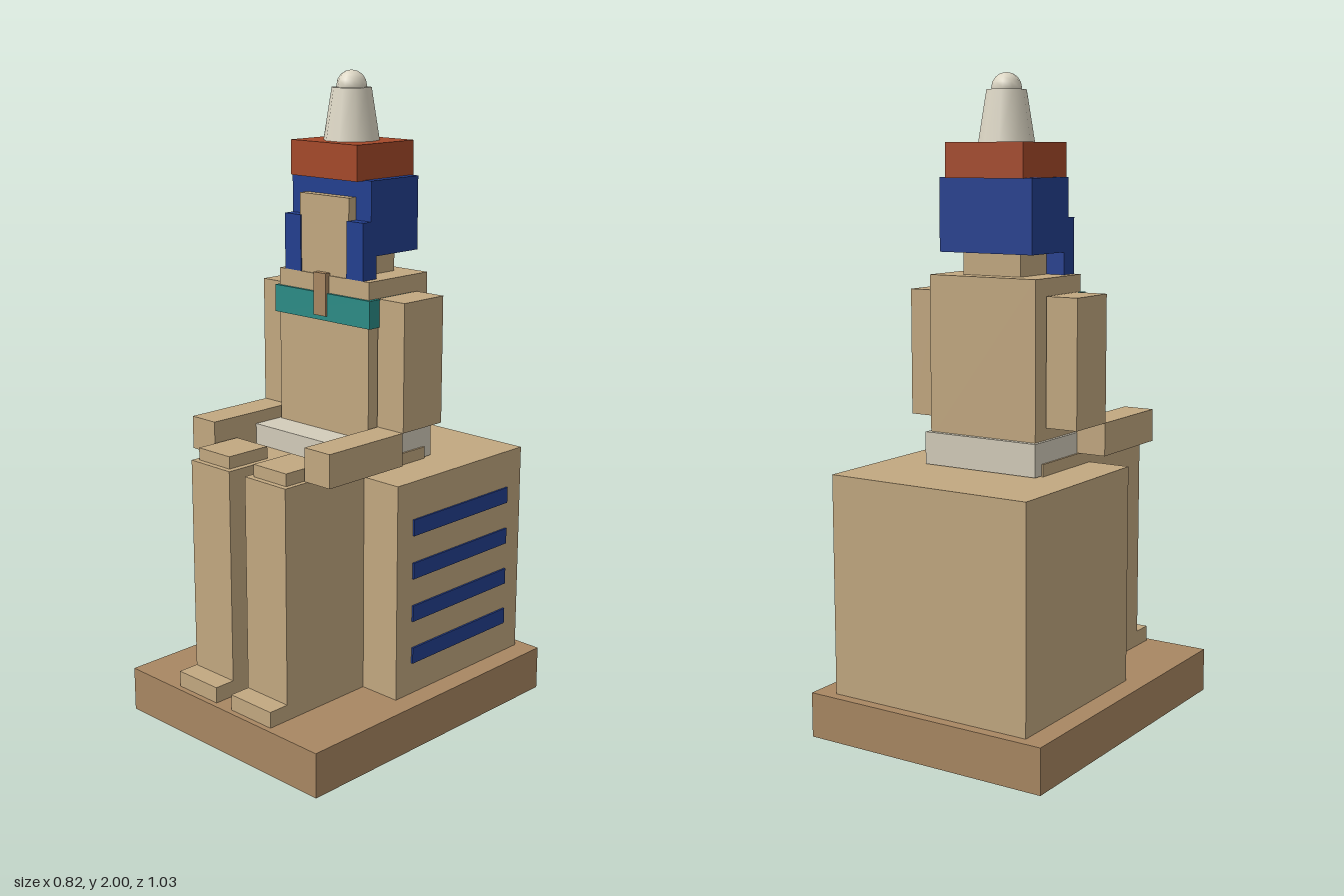
import * as THREE from 'three';

const mat = (color) => new THREE.MeshStandardMaterial({ color });

export function createModel() {
  const model = new THREE.Group();
  const stone = mat(0xc2a880), brown = mat(0xa88762), blue = mat(0x233f8f);
  const red = mat(0xa5492a), teal = mat(0x2c8c86), linen = mat(0xd3ccba), ivory = mat(0xdcd6c4);

  // Box given by its min/max extents on each axis
  function box(name, material, [x0, x1], [y0, y1], [z0, z1]) {
    const mesh = new THREE.Mesh(new THREE.BoxGeometry(x1 - x0, y1 - y0, z1 - z0), material);
    mesh.position.set((x0 + x1) / 2, (y0 + y1) / 2, (z0 + z1) / 2);
    mesh.name = name;
    model.add(mesh);
  }
  // Mirrored pair: x extents are given for the left (+x) side
  function pair(name, material, [x0, x1], y, z) {
    box('left' + name, material, [x0, x1], y, z);
    box('right' + name, material, [-x1, -x0], y, z);
  }

  // Plinth and seat
  box('plinth', brown, [-0.41, 0.41], [0, 0.14], [-0.513, 0.513]);
  box('throne', stone, [-0.341, 0.341], [0.14, 0.82], [-0.48, 0.102]);
  for (let i = 0; i < 4; i++) {
    const y = 0.24 + i * 0.137;
    box('throneStripe' + (i + 1), blue, [0.335, 0.347], [y, y + 0.051], [-0.41, 0.034]);
  }

  // Legs: lap slab, shin, foot and knee
  pair('Thigh', stone, [0.034, 0.204], [0.68, 0.857], [-0.17, 0.36]);
  pair('Shin', stone, [0.034, 0.204], [0.14, 0.857], [0.09, 0.427]);
  pair('Foot', stone, [0.034, 0.204], [0.14, 0.19], [0.3, 0.495]);
  pair('Knee', stone, [0.053, 0.189], [0.85, 0.895], [0.256, 0.409]);
  box('kilt', linen, [-0.198, 0.198], [0.822, 0.922], [-0.205, 0.17]);

  // Torso and arms
  box('torso', stone, [-0.188, 0.188], [0.9, 1.402], [-0.189, 0.068]);
  pair('UpperArm', stone, [0.193, 0.298], [0.96, 1.35], [-0.137, 0.034]);
  pair('Forearm', stone, [0.195, 0.296], [0.858, 0.96], [0.034, 0.341]);
  box('collar', teal, [-0.2, 0.2], [1.265, 1.349], [-0.125, 0.077]);

  // Head, beard and headdress
  box('head', stone, [-0.102, 0.102], [1.4, 1.64], [-0.135, 0.064]);
  box('beard', brown, [-0.025, 0.025], [1.28, 1.41], [0.055, 0.084]);
  box('headdress', blue, [-0.164, 0.164], [1.47, 1.692], [-0.17, 0.034]);
  pair('Lappet', blue, [0.096, 0.164], [1.402, 1.573], [0.01, 0.068]);
  box('crownBase', red, [-0.137, 0.137], [1.69, 1.795], [-0.178, 0.066]);

  // Tall tapered crown with a round tip
  const cone = new THREE.Mesh(new THREE.CylinderGeometry(0.06, 0.085, 0.155, 10), ivory);
  cone.name = 'crownCone';
  cone.rotation.y = Math.PI / 2;
  cone.position.set(0, 1.872, -0.053);
  const tip = new THREE.Mesh(new THREE.SphereGeometry(0.046, 10, 8), ivory);
  tip.name = 'crownTip';
  tip.position.set(0, 1.954, -0.053);
  model.add(cone, tip);

  return model;
}
